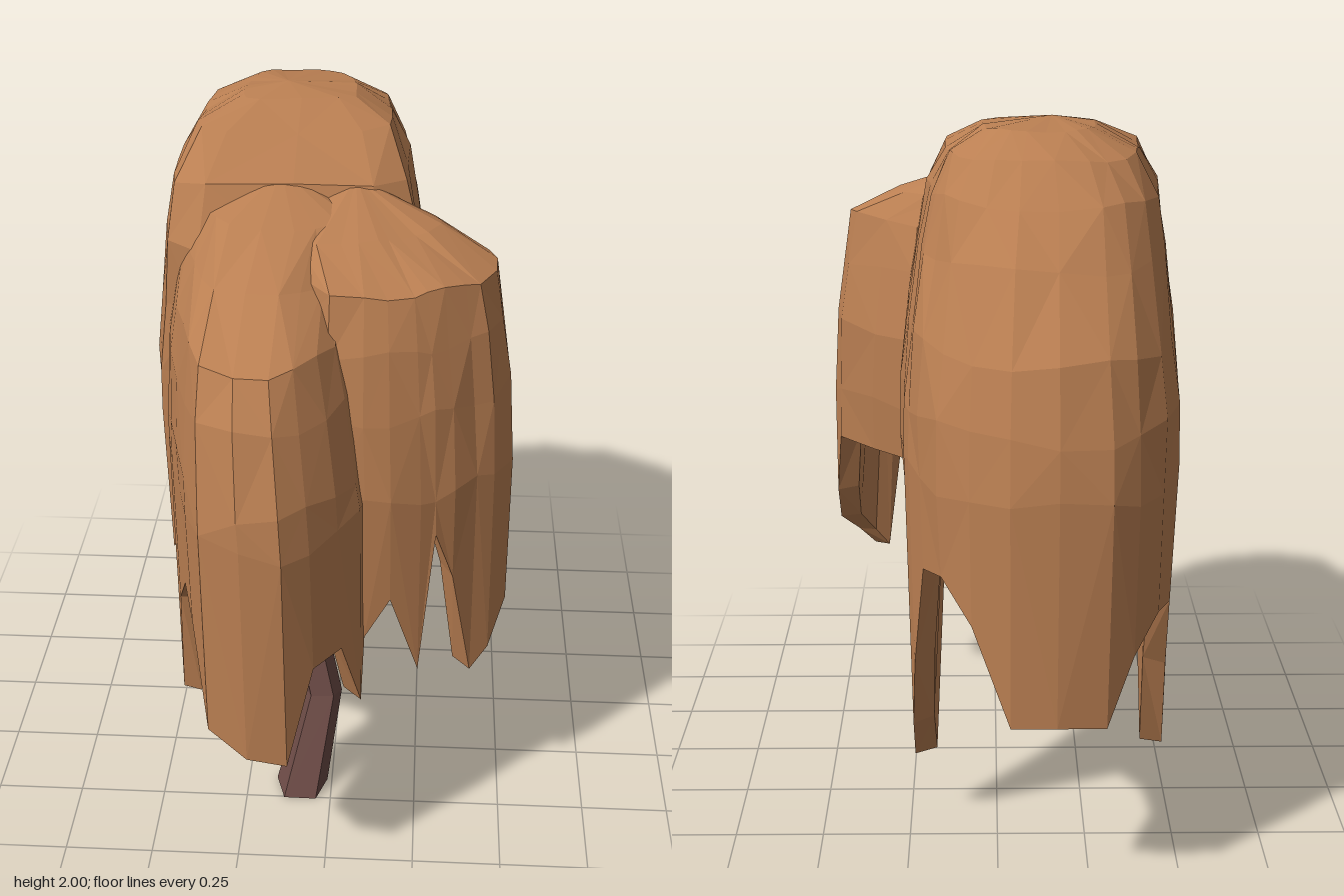
import * as THREE from 'three';

const leafMat = new THREE.MeshStandardMaterial({ color: 0xba7f52, flatShading: true });
leafMat.name = 'copper leaves';
const barkMat = new THREE.MeshStandardMaterial({ color: 0x6b4a45, flatShading: true });
barkMat.name = 'dark bark';

// Joins rings of equal point count, listed bottom to top, into a closed skin.
function loft(rings, bottom, top) {
  const pts = [...rings.flat(), bottom, top];
  const n = rings[0].length, iB = pts.length - 2, iT = pts.length - 1;
  const index = [];
  for (let r = 0; r < rings.length - 1; r++) {
    for (let j = 0; j < n; j++) {
      const a = r * n + j, b = r * n + (j + 1) % n;
      const c = a + n, d = b + n;
      if ((r + j) % 2) index.push(a, b, d, a, d, c);
      else index.push(a, b, c, b, d, c);
    }
  }
  const last = (rings.length - 1) * n;
  for (let j = 0; j < n; j++) {
    const k = (j + 1) % n;
    index.push(iB, k, j, last + j, last + k, iT);
  }
  const geo = new THREE.BufferGeometry().setFromPoints(pts);
  geo.setIndex(index);
  const flat = geo.toNonIndexed();
  flat.computeVertexNormals();
  return flat;
}

// Drooping foliage: hem rows are [x, z, lowest y]; body rows are [y, x0, x1, z0, z1].
// The underside is hollow, with a ceiling high inside.
function foliage(name, hem, body, crown) {
  const xs = hem.map((h) => h[0]), zs = hem.map((h) => h[1]);
  const x0 = Math.min(...xs), x1 = Math.max(...xs);
  const z0 = Math.min(...zs), z1 = Math.max(...zs);
  const cx = (x0 + x1) / 2, cz = (z0 + z1) / 2;
  const inset = (h, d, y) => {
    const dx = h[0] - cx, dz = h[1] - cz, k = 1 - d / Math.hypot(dx, dz);
    return new THREE.Vector3(cx + dx * k, y, cz + dz * k);
  };
  const rings = [
    hem.map((h) => inset(h, 0.12, 1.25)),
    hem.map((h) => inset(h, 0.07, h[2] + 0.01)),
    hem.map((h) => inset(h, 0.005, h[2])),
  ];
  body.forEach(([y, a, b, c, d], r) => {
    const bump = 0.02 * (1 - r / body.length);
    rings.push(hem.map((h, j) => {
      const s = 1 - 0.01 * (1 + Math.sin(j * 2.1 + r * 1.7));
      const u = (h[0] - x0) / (x1 - x0), v = (h[1] - z0) / (z1 - z0);
      return new THREE.Vector3(
        (a + b) / 2 + (u - 0.5) * (b - a) * s,
        y + bump * Math.sin(j * 1.3 + r * 2.6),
        (c + d) / 2 + (v - 0.5) * (d - c) * s);
    }));
  });
  const mesh = new THREE.Mesh(
    loft(rings, new THREE.Vector3(cx, 1.35, cz), new THREE.Vector3(...crown)), leafMat);
  mesh.name = name;
  return mesh;
}

// Tapered five-sided limb along points [x, y, z, radius].
function limb(name, path) {
  const p = path.map((q) => new THREE.Vector3(q[0], q[1], q[2]));
  const up = new THREE.Vector3(0, 1, 0);
  const rings = p.map((c, i) => {
    const dir = i === 0 ? up : p[Math.min(i + 1, p.length - 1)].clone().sub(p[i - 1]).normalize();
    const q = new THREE.Quaternion().setFromUnitVectors(up, dir);
    return Array.from({ length: 5 }, (_, j) => {
      const a = (j / 5) * Math.PI * 2 + 0.3, r = path[i][3];
      return new THREE.Vector3(Math.cos(a) * r, 0, -Math.sin(a) * r).applyQuaternion(q).add(c);
    });
  });
  const mesh = new THREE.Mesh(loft(rings, p[0], p[p.length - 1]), barkMat);
  mesh.name = name;
  return mesh;
}

export function createModel() {
  const tree = new THREE.Group();
  tree.name = 'weepingTree';

  // Tall rear canopy
  tree.add(foliage('rearCanopy', [
    [-0.03, -0.88, 0.54], [-0.15, -0.9, 0.55], [-0.28, -0.88, 0.54], [-0.35, -0.83, 0.72],
    [-0.42, -0.73, 0.8], [-0.47, -0.55, 0.75], [-0.48, -0.42, 0.5], [-0.49, -0.31, 0.19],
    [-0.49, -0.2, 0.5], [-0.5, -0.05, 0.76], [-0.5, 0.1, 0.68], [-0.48, 0.22, 0.7],
    [-0.38, 0.28, 0.95], [-0.1, 0.26, 1.1], [0.15, 0.22, 1.05], [0.26, 0.12, 0.97],
    [0.26, -0.05, 0.96], [0.26, -0.25, 0.93], [0.25, -0.35, 0.58], [0.24, -0.41, 0.21],
    [0.24, -0.49, 0.35], [0.23, -0.55, 0.57], [0.2, -0.63, 0.88], [0.15, -0.73, 0.9],
    [0.07, -0.82, 0.8],
  ], [
    [1.14, -0.51, 0.27, -0.89, 0.27],
    [1.3, -0.51, 0.27, -0.865, 0.27],
    [1.48, -0.49, 0.25, -0.81, 0.27],
    [1.68, -0.47, 0.22, -0.67, 0.27],
    [1.82, -0.45, 0.19, -0.56, 0.19],
    [1.92, -0.39, 0.14, -0.45, 0.04],
    [1.98, -0.27, 0.04, -0.33, -0.06],
  ], [-0.15, 2, -0.16]));

  // Lower front canopy
  tree.add(foliage('frontCanopy', [
    [-0.47, 0.1, 0.8], [-0.47, 0.2, 0.29], [-0.46, 0.3, 0.25], [-0.44, 0.4, 0.65],
    [-0.4, 0.55, 0.8], [-0.36, 0.7, 0.78], [-0.31, 0.83, 0.52], [-0.2, 0.89, 0.47],
    [-0.09, 0.9, 0.46], [-0.02, 0.85, 0.75], [0.05, 0.77, 0.76], [0.1, 0.68, 0.52],
    [0.11, 0.6, 0.8], [0.1, 0.4, 1.05], [0, 0.05, 1.1], [-0.25, 0, 1.1],
  ], [
    [1.12, -0.47, 0.1, 0, 0.9],
    [1.22, -0.47, 0.09, 0, 0.885],
    [1.42, -0.46, 0.06, 0, 0.82],
    [1.55, -0.44, 0.03, 0, 0.75],
    [1.66, -0.42, 0.03, 0, 0.52],
    [1.76, -0.4, 0.06, -0.02, 0.33],
  ], [-0.15, 1.85, 0.12]));

  // Lobe bulging to the left
  tree.add(foliage('sideCanopy', [
    [0, 0.64, 0.85], [0.1, 0.64, 0.7], [0.17, 0.63, 0.82], [0.25, 0.6, 0.57],
    [0.29, 0.58, 1], [0.34, 0.55, 0.85], [0.4, 0.5, 0.5], [0.45, 0.47, 0.56],
    [0.5, 0.35, 0.65], [0.5, 0.27, 0.77], [0.48, 0.2, 0.97], [0.37, 0.08, 0.97],
    [0.26, -0.02, 0.97], [-0.05, 0.02, 1.1], [-0.12, 0.45, 1.05],
  ], [
    [1.12, -0.12, 0.495, -0.04, 0.64],
    [1.35, -0.12, 0.48, -0.05, 0.61],
    [1.52, -0.11, 0.455, 0, 0.57],
    [1.66, -0.1, 0.43, 0.05, 0.52],
    [1.74, -0.12, 0.28, 0.04, 0.36],
  ], [0.05, 1.83, 0.12]));

  // Leaning trunk and its branches
  tree.add(limb('trunk', [
    [-0.09, 0, 0.44, 0.08], [-0.03, 0.27, 0.33, 0.057], [-0.1, 0.58, 0.25, 0.052],
    [-0.17, 0.75, 0.02, 0.044], [-0.19, 0.84, -0.28, 0.042], [-0.16, 0.98, -0.62, 0.035],
  ]));
  tree.add(limb('frontBranch', [
    [-0.09, 0.55, 0.26, 0.036], [-0.13, 0.68, 0.32, 0.038], [-0.15, 1.3, 0.26, 0.032],
  ]));
  tree.add(limb('upperBranch', [
    [-0.16, 0.73, 0.03, 0.035], [-0.16, 0.86, 0, 0.035], [-0.15, 1.3, -0.08, 0.03],
  ]));
  return tree;
}
